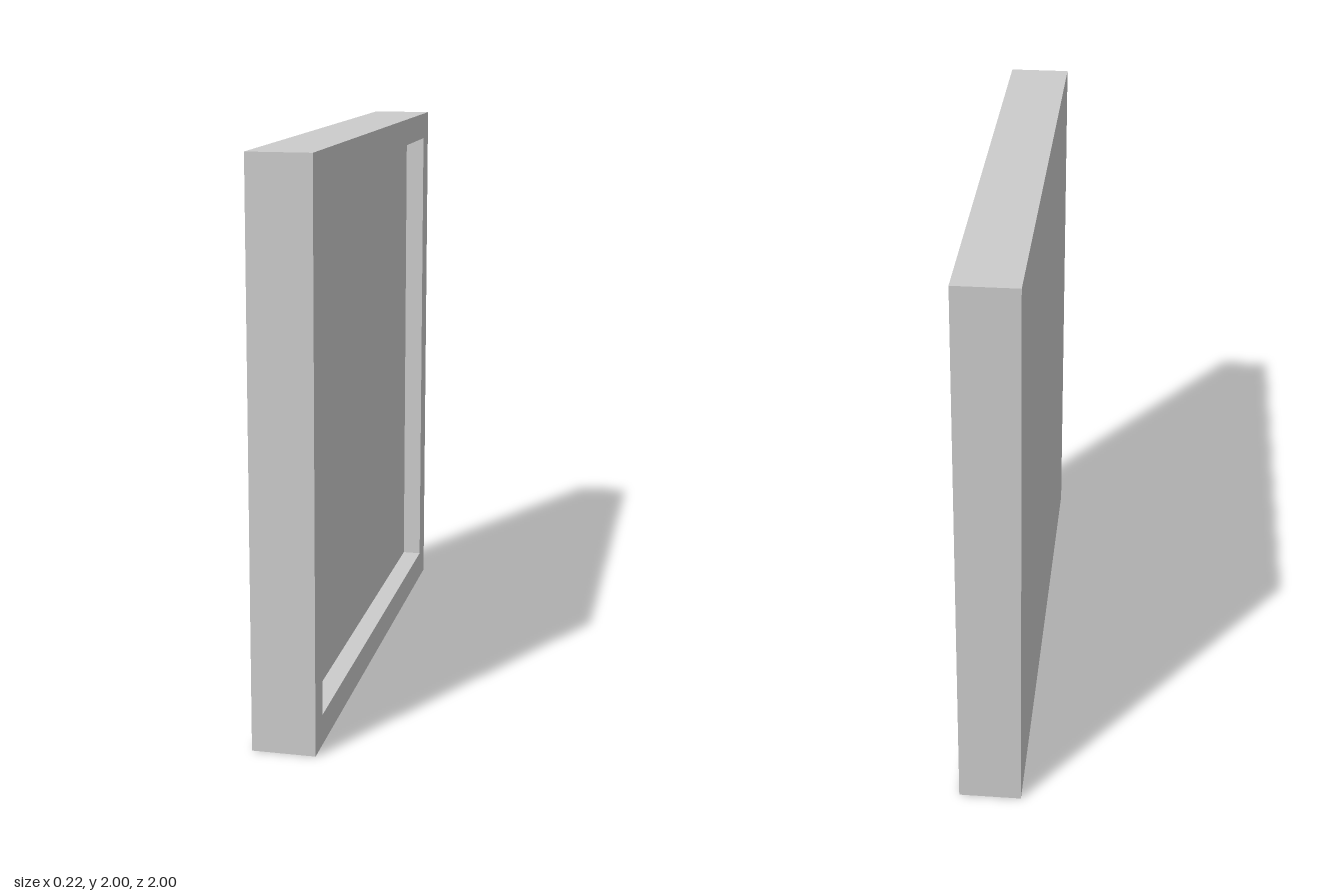
import * as THREE from 'three';

// Square panel with a shallow recess in its +x face
export function createModel() {
  const group = new THREE.Group();
  group.name = 'recessedPanel';

  const half = 1, inner = 0.9, halfThick = 0.11, recessDepth = 0.07;
  const lowerInner = -0.893; // the bottom border is slightly wider

  // Half section from the back centre, round the rim, to the recess centre
  const profile = [
    [0, -halfThick],
    [half, -halfThick],
    [half, halfThick],
    [inner, halfThick],
    [inner, halfThick - recessDepth],
    [0, halfThick - recessDepth],
  ].map(([r, y]) => new THREE.Vector2(r * Math.SQRT2, y));

  // Four-sided sweep gives a closed square tray; turn it upright to face +x
  const geometry = new THREE.LatheGeometry(profile, 4);
  geometry.rotateY(Math.PI / 4);
  geometry.rotateZ(-Math.PI / 2);

  // Raise the lower edge of the recess
  const pos = geometry.attributes.position;
  for (let i = 0; i < pos.count; i++) {
    const y = pos.getY(i);
    if (y < -0.5 && y > -0.95) pos.setY(i, lowerInner);
  }
  geometry.translate(0, half, 0);

  const panel = new THREE.Mesh(
    geometry,
    new THREE.MeshStandardMaterial({ color: 0xcccccc, flatShading: true })
  );
  panel.name = 'framedPanel';
  group.add(panel);
  return group;
}
